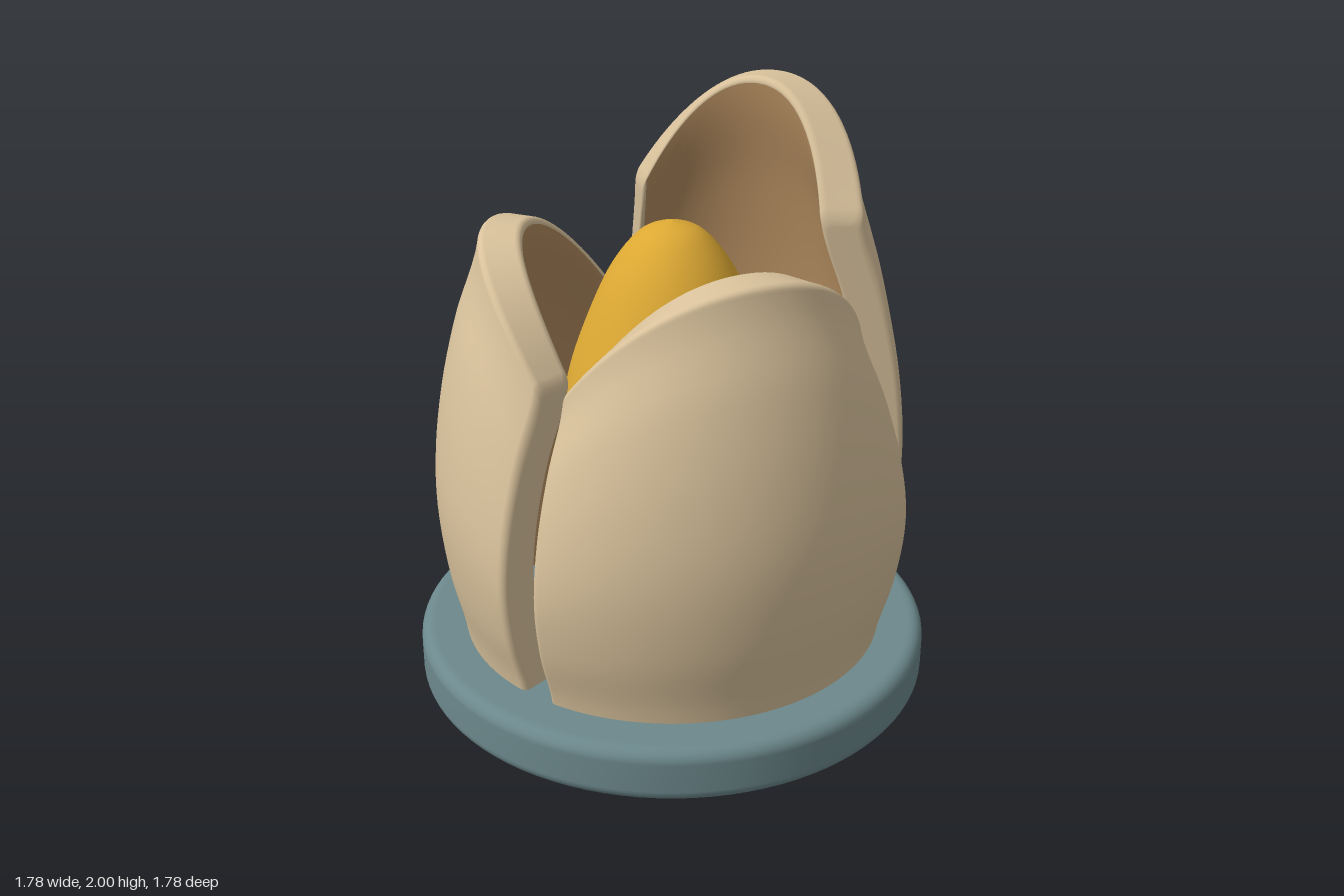
import * as THREE from 'three';

const mat = (name, color, side = THREE.FrontSide) => {
  const m = new THREE.MeshStandardMaterial({ color, side });
  m.name = name;
  return m;
};
const v2 = (x, y) => new THREE.Vector2(x, y);
const BASE_TOP = 0.19, BEVEL = 0.024, THICK = 0.145;

// Outer radius of a petal against its relative height (0 foot, 1 rim)
const profile = new THREE.SplineCurve([
  v2(0, 0.73), v2(0.2, 0.784), v2(0.42, 0.806), v2(0.64, 0.78), v2(0.83, 0.718), v2(1, 0.628),
]);
const radiusAt = (t) => profile.getPoint(t).y;

// A curved, thick petal: a rounded wall section swept around the y axis
function petalGeometry(center, half, topMid, topEnd) {
  const rows = 28, arc = 5, sweep = 40;

  // Angle stations; s is how far the section shrinks at the rounded ends
  const stations = [];
  const edge = BEVEL / 0.72;
  for (let i = 0; i <= arc; i++) {
    const a = (1 - i / arc) * Math.PI / 2;
    stations.push({ a: -half + edge * (1 - Math.sin(a)), s: BEVEL * (1 - Math.cos(a)) });
  }
  for (let i = 1; i < sweep; i++) {
    stations.push({ a: (half - edge) * (2 * i / sweep - 1), s: 0 });
  }
  for (let i = arc; i >= 0; i--) stations.push({ a: -stations[i].a, s: stations[i].s });

  const positions = [];
  let n = 0;
  for (const { a, s } of stations) {
    const u = a / half;
    const top = topMid - (topMid - topEnd) * Math.pow(Math.abs(u), 2.1) - s;
    const outer = [], inner = [];
    for (let k = 0; k <= rows; k++) {
      const t = k / rows;
      const y = BASE_TOP - 0.005 + t * (top - BEVEL - BASE_TOP + 0.005);
      outer.push([radiusAt(t) - s, y]);
      inner.push([radiusAt(t) - THICK + s, y]);
    }
    for (let k = 1; k <= arc; k++) {
      const q = k / arc * Math.PI / 2;
      const dr = BEVEL * (1 - Math.cos(q)), y = top - BEVEL * (1 - Math.sin(q));
      outer.push([radiusAt(1) - s - dr, y]);
      inner.push([radiusAt(1) - THICK + s + dr, y]);
    }
    const loop = [...outer, ...inner.reverse()];
    n = loop.length;
    for (const [r, y] of loop) {
      positions.push(r * Math.sin(center + a), y, r * Math.cos(center + a));
    }
  }

  // Skin, end faces, then the inner wall as a second material group
  const shell = [], lining = [];
  const quad = (list, a, b, c, d) => list.push(a, b, c, a, c, d);
  const last = stations.length - 1, innerStart = n / 2 + arc;
  for (let i = 0; i < last; i++) {
    for (let j = 0; j < n - 1; j++) {
      const p = i * n + j;
      const isInner = j >= innerStart && i >= arc && i < last - arc;
      quad(isInner ? lining : shell, p, p + n, p + n + 1, p + 1);
    }
  }
  for (let k = 0; k < n / 2 - 1; k++) {
    const e = last * n;
    quad(shell, e + k, e + n - 1 - k, e + n - 2 - k, e + k + 1);
    quad(shell, k, k + 1, n - 2 - k, n - 1 - k);
  }
  const g = new THREE.BufferGeometry();
  g.setAttribute('position', new THREE.Float32BufferAttribute(positions, 3));
  g.setIndex([...shell, ...lining]);
  g.addGroup(0, shell.length, 0);
  g.addGroup(shell.length, lining.length, 1);
  g.computeVertexNormals();
  return g;
}

export function createModel() {
  const model = new THREE.Group();
  model.name = 'petalShrine';
  const sand = mat('sand', 0xd8c19b);
  const clay = mat('clay', 0xb38c5f);
  const slate = mat('slate', 0x6c888c);
  const gold = mat('gold', 0xdca833);

  const add = (name, geometry, material) => {
    const m = new THREE.Mesh(geometry, material);
    m.name = name;
    model.add(m);
  };

  // Round base with softened edges
  const R = 0.888, B = 0.045;
  const base = [v2(0, 0), v2(R - B - 0.01, 0)];
  for (let i = 0; i <= 6; i++) {
    const a = i / 6 * Math.PI / 2;
    base.push(v2(R - B + B * Math.sin(a), B - B * Math.cos(a)));
  }
  for (let i = 0; i <= 6; i++) {
    const a = i / 6 * Math.PI / 2;
    base.push(v2(R - B + B * Math.cos(a), BASE_TOP - B + B * Math.sin(a)));
  }
  base.push(v2(R - B - 0.01, BASE_TOP), v2(0, BASE_TOP));
  add('base', new THREE.LatheGeometry(base, 96), slate);

  // Egg-shaped core hovering between the petals
  const egg = new THREE.SplineCurve([
    v2(0, 0.56), v2(0.14, 0.58), v2(0.27, 0.66), v2(0.345, 0.78), v2(0.37, 0.93),
    v2(0.353, 1.07), v2(0.3, 1.24), v2(0.208, 1.45), v2(0.105, 1.58), v2(0, 1.618),
  ]).getPoints(48);
  egg[0].x = egg[48].x = 0;
  add('core', new THREE.LatheGeometry(egg.map((p) => v2(Math.max(p.x, 0), p.y)), 64), gold);

  // One tall petal behind, two shorter ones mirrored in front
  const deg = Math.PI / 180;
  add('backPetal', petalGeometry(180 * deg, 49.3 * deg, 2, 1.61), [sand, clay]);
  for (const side of [1, -1]) {
    add(side > 0 ? 'leftPetal' : 'rightPetal',
      petalGeometry(side * 62 * deg, 58 * deg, 1.59, 1.215), [sand, clay]);
  }
  return model;
}
